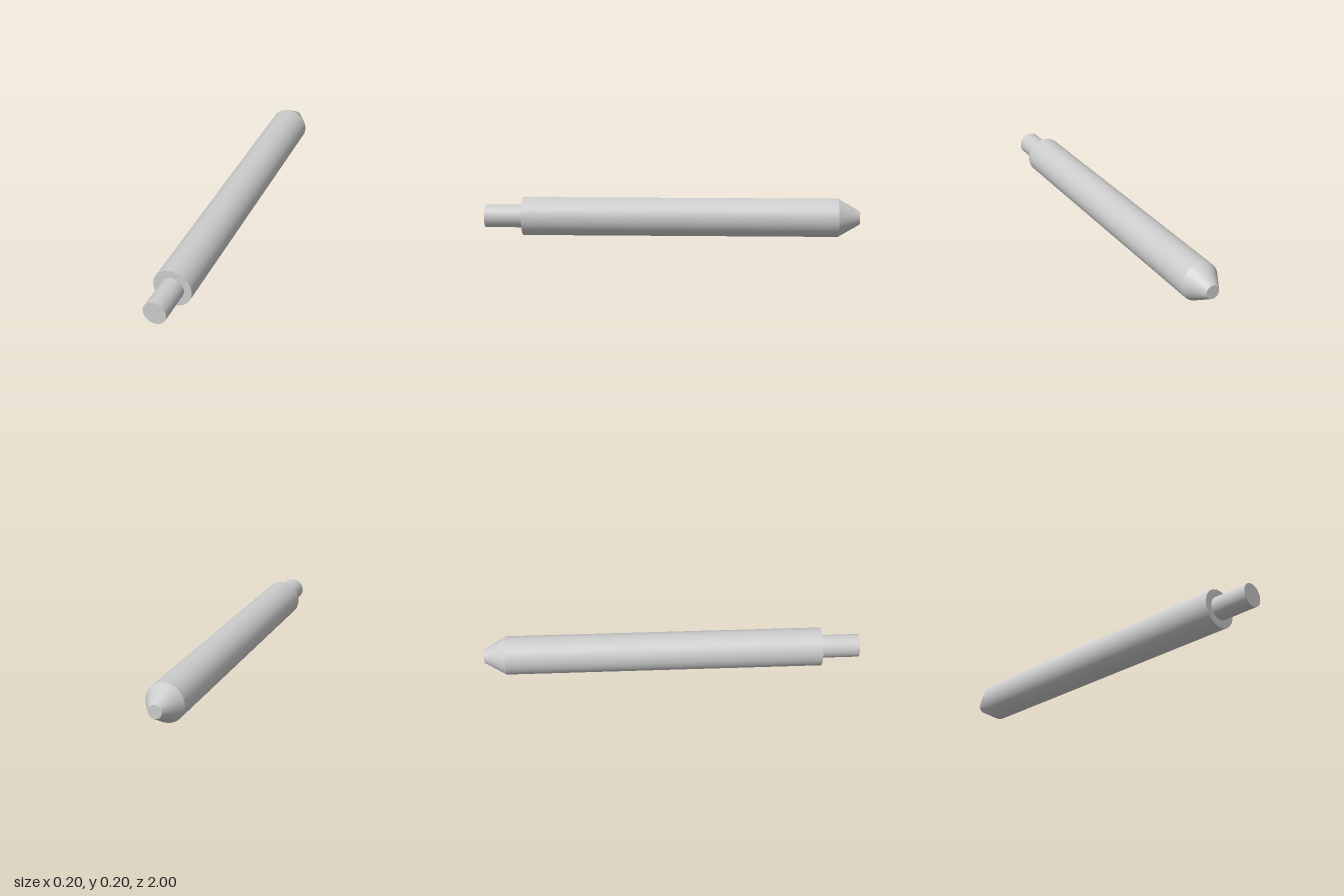
import * as THREE from 'three';

const SEGMENTS = 64;
const BODY_R = 0.102, PIN_R = 0.061, TIP_R = 0.036;
const FRONT = 1, SHOULDER = 0.796, TAPER = -0.885, BACK = -1;

export function createModel() {
  const group = new THREE.Group();
  const material = new THREE.MeshStandardMaterial({ color: 0xcccccc });

  const add = (name, geometry, z) => {
    const mesh = new THREE.Mesh(geometry, material);
    mesh.name = name;
    mesh.position.set(0, BODY_R, z);
    group.add(mesh);
    return mesh;
  };

  // Open round wall along z, from the front radius to the back radius
  const wall = (name, rFront, rBack, zFront, zBack) =>
    add(name, new THREE.CylinderGeometry(rFront, rBack, zFront - zBack, SEGMENTS, 1, true)
      .rotateX(Math.PI / 2), (zFront + zBack) / 2);

  // Stepped shaft: narrow pin, long body, tapered end
  wall('pin', PIN_R, PIN_R, FRONT, SHOULDER);
  wall('body', BODY_R, BODY_R, SHOULDER, TAPER);
  wall('taperedTip', BODY_R, TIP_R, TAPER, BACK);

  // Flat faces closing the shaft; circles start at the bottom to line up with the walls
  const start = -Math.PI / 2, turn = Math.PI * 2;
  add('pinEnd', new THREE.CircleGeometry(PIN_R, SEGMENTS, start, turn), FRONT);
  add('shoulder', new THREE.RingGeometry(PIN_R, BODY_R, SEGMENTS, 1, start, turn), SHOULDER);
  add('tipEnd', new THREE.CircleGeometry(TIP_R, SEGMENTS, start, turn), BACK).rotation.y = Math.PI;

  return group;
}
